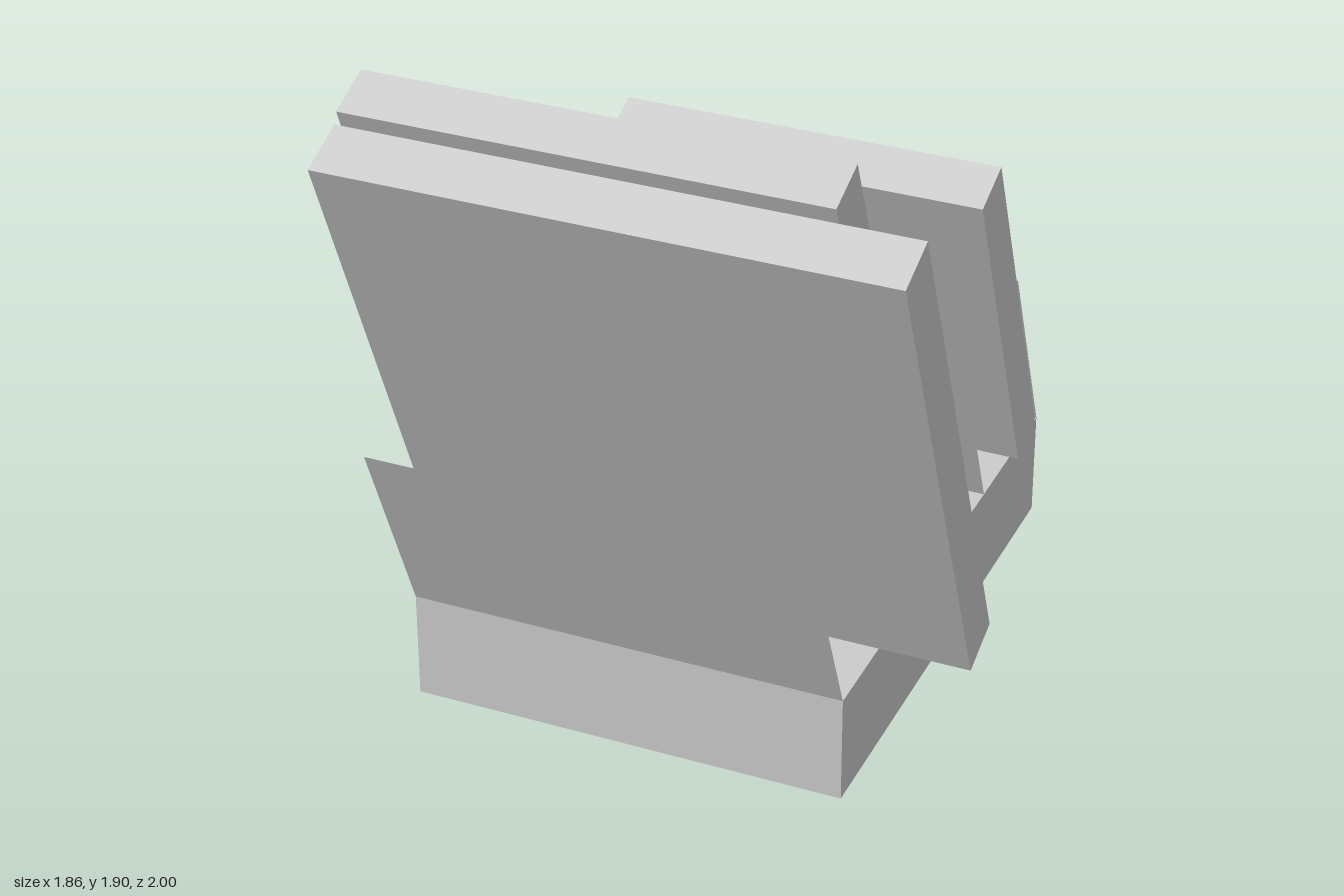
import * as THREE from 'three';

const TILT = Math.PI / 8; // everything in the rack leans forward

export function createModel() {
  const group = new THREE.Group();
  const gray = new THREE.MeshStandardMaterial({ color: 0xcccccc, side: THREE.DoubleSide });
  gray.name = 'light gray';

  function add(name, geometry, x, y, z, tilt = 0) {
    const mesh = new THREE.Mesh(geometry, gray);
    mesh.name = name;
    mesh.position.set(x, y, z);
    mesh.rotation.x = tilt;
    group.add(mesh);
  }

  // Base block
  const width = 1.29, baseTop = 0.325;
  add('base', new THREE.BoxGeometry(width, baseTop, 1.62), 0, baseTop / 2, -0.19);

  // Thin dividers rising from the base top, given by their foot z
  const rise = 0.6, run = rise * Math.tan(TILT);
  for (const z of [0.62, -0.03, -0.52, -1]) {
    const sheet = new THREE.PlaneGeometry(width, rise / Math.cos(TILT));
    add('divider', sheet, 0, baseTop + rise / 2, z + run / 2, TILT);
  }

  // Square slabs held between the dividers: [size, x, y, z]
  const slabs = [
    [1.61, 0.12, 1.126, 0.62],
    [1.45, -0.205, 1.053, 0.062],
    [1.13, 0.12, 0.903, -0.567],
  ];
  for (const [size, x, y, z] of slabs) {
    add('slab', new THREE.BoxGeometry(size, size, 0.16), x, y, z, TILT);
  }

  return group;
}
